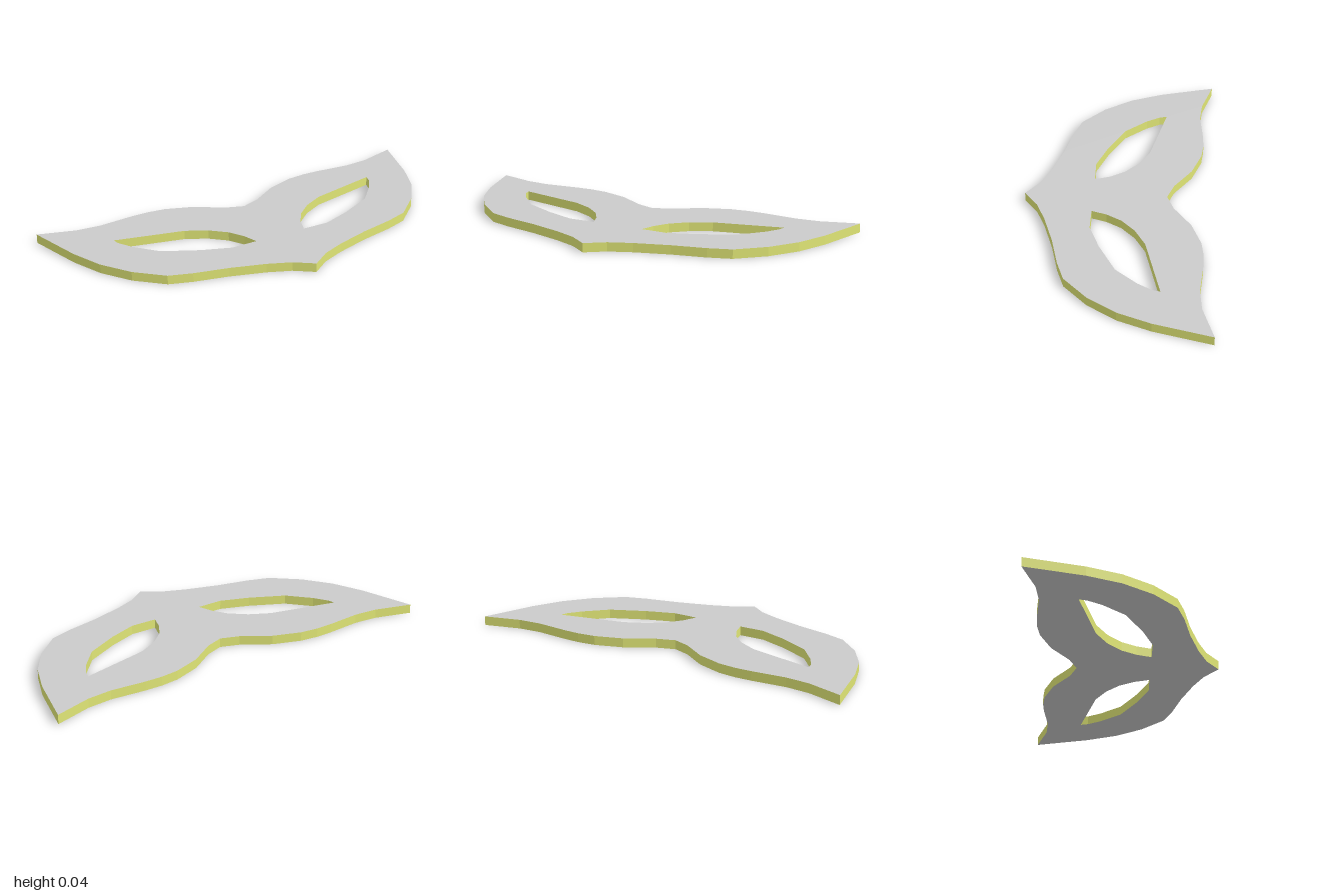
import * as THREE from 'three';

const THICKNESS = 0.044;

// Half outline (x, z) from the nose tip, round the side, to the brow notch
const HALF_OUTLINE = [
  [0, 0.45], [0.09, 0.385], [0.2, 0.34], [0.365, 0.29], [0.53, 0.253], [0.64, 0.217],
  [0.765, 0.105], [0.86, -0.03], [0.925, -0.185], [1, -0.453],
  [0.82, -0.4], [0.7, -0.39], [0.53, -0.405], [0.445, -0.407], [0.355, -0.397],
  [0.22, -0.35], [0.09, -0.265], [0, -0.233],
];

// Almond eye opening (x, z)
const EYE = [
  [0.71, -0.217], [0.375, -0.14], [0.275, -0.088], [0.2, -0.022], [0.155, 0.05], [0.13, 0.122],
  [0.26, 0.123], [0.4, 0.072], [0.565, -0.01], [0.66, -0.115], [0.7, -0.18],
];

// The shape is drawn with y = -z, then laid flat
const toPoints = (list, side = 1) => list.map(([x, z]) => new THREE.Vector2(side * x, -z));

export function createModel() {
  const group = new THREE.Group();
  group.name = 'mask';

  // Mirrored outline with two eye openings
  const mirrored = toPoints(HALF_OUTLINE.slice(1, -1), -1).reverse();
  const shape = new THREE.Shape([...toPoints(HALF_OUTLINE), ...mirrored]);
  for (const side of [1, -1]) shape.holes.push(new THREE.Path(toPoints(EYE, side)));

  const geometry = new THREE.ExtrudeGeometry(shape, { depth: THICKNESS, bevelEnabled: false });
  geometry.rotateX(-Math.PI / 2);

  // Grey faces, yellow edges
  const face = new THREE.MeshStandardMaterial({ color: 0xcccccc });
  const edge = new THREE.MeshStandardMaterial({ color: 0xe0e676 });
  const plate = new THREE.Mesh(geometry, [face, edge]);
  plate.name = 'maskPlate';
  group.add(plate);
  return group;
}
